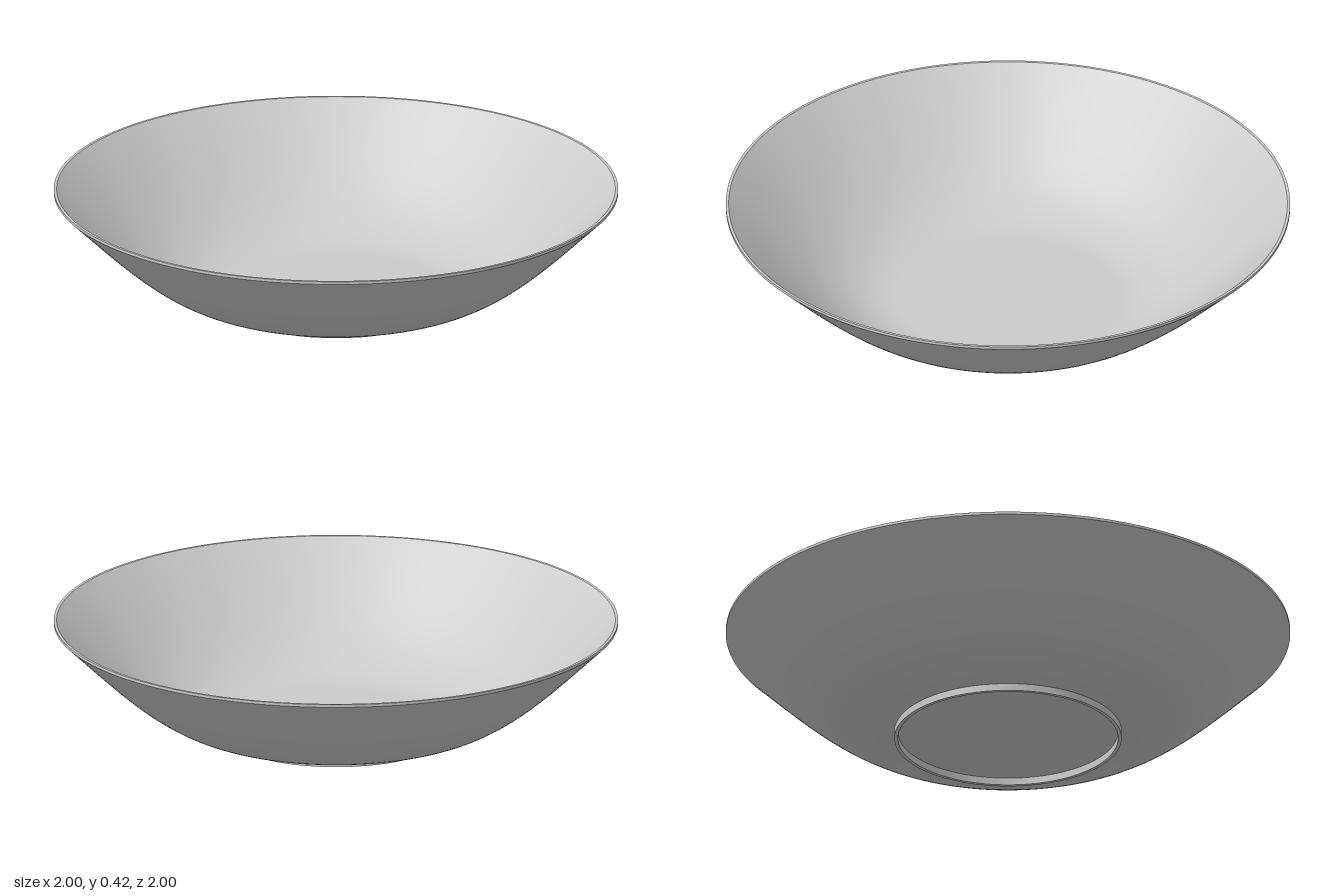
import * as THREE from 'three';

const SEGMENTS = 128;
const material = new THREE.MeshStandardMaterial({ color: 0xcccccc, side: THREE.DoubleSide });

// One smooth surface of revolution; separate pieces keep crisp edges between them
function lathe(name, points) {
  const geometry = new THREE.LatheGeometry(points, SEGMENTS);
  const mesh = new THREE.Mesh(geometry, material);
  mesh.name = name;
  return mesh;
}

const v = (x, y) => new THREE.Vector2(x, y);

// Flat floor followed by a flaring wall
function bowlProfile(curve) {
  return [v(0, curve.v0.y), v(curve.v0.x * 0.5, curve.v0.y), ...curve.getPoints(24)];
}

export function createModel() {
  const group = new THREE.Group();
  group.name = 'bowl';

  const outer = new THREE.CubicBezierCurve(v(0.4, 0.026), v(0.62, 0.026), v(0.78, 0.2), v(1, 0.41));
  const inner = new THREE.CubicBezierCurve(v(0.4, 0.038), v(0.614, 0.038), v(0.771, 0.211), v(0.99, 0.42));

  // Bowl wall: underside and inside (listed from the rim so it faces inward)
  group.add(lathe('outerWall', bowlProfile(outer)));
  group.add(lathe('innerWall', bowlProfile(inner).reverse()));

  // Thin lip: short vertical edge and flat top
  group.add(lathe('rimEdge', [v(1, 0.41), v(1, 0.42)]));
  group.add(lathe('rimTop', [v(1, 0.42), v(0.99, 0.42)]));

  // Foot ring with a recessed middle
  const foot = new THREE.Group();
  foot.name = 'footRing';
  foot.add(lathe('footOuterSide', [v(0.403, 0), v(0.403, 0.027)]));
  foot.add(lathe('footBottom', [v(0.39, 0), v(0.403, 0)]));
  foot.add(lathe('footInnerSide', [v(0.39, 0.027), v(0.39, 0)]));
  group.add(foot);

  return group;
}
